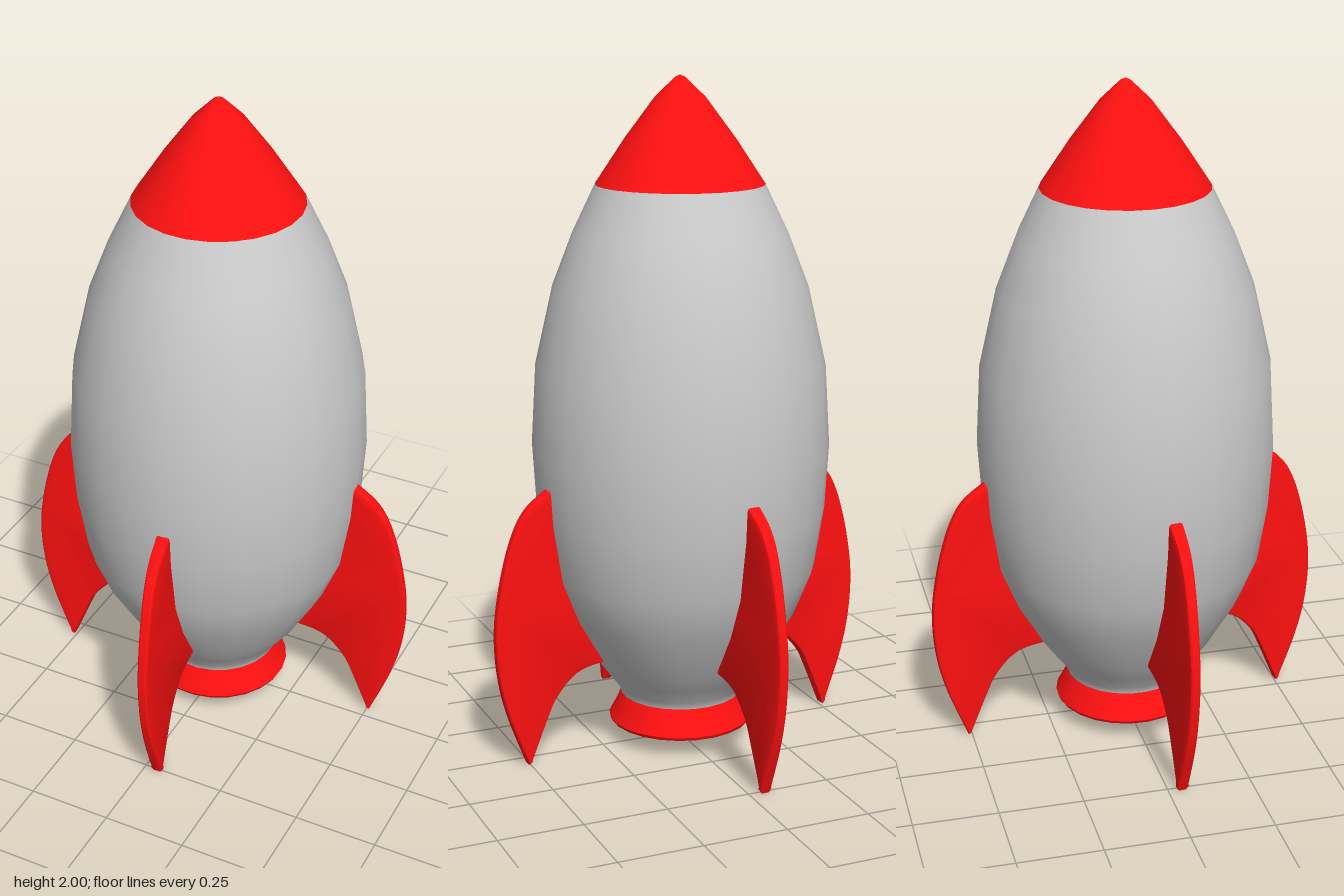
import * as THREE from 'three';
import { toCreasedNormals } from 'three/addons/utils/BufferGeometryUtils.js';

const SIDES = 24;
const grey = new THREE.MeshStandardMaterial({ color: 0xcccccc });
const red = new THREE.MeshStandardMaterial({ color: 0xff1010 });
const vectors = (pairs) => pairs.map(([x, y]) => new THREE.Vector2(x, y));

function addPart(parent, name, geometry, material) {
  const mesh = new THREE.Mesh(geometry, material);
  mesh.name = name;
  parent.add(mesh);
  return mesh;
}

// Swept fin: bevelled blade in the x-y plane, thinner towards its outer edge
function finGeometry() {
  const shape = new THREE.Shape();
  shape.moveTo(0.41, 0.835);
  shape.lineTo(0.437, 0.832);
  shape.splineThru(vectors([[0.505, 0.78], [0.55, 0.7], [0.587, 0.57], [0.607, 0.43], [0.6, 0.29], [0.57, 0.16], [0.512, 0.005]]));
  shape.lineTo(0.505, 0.008);
  shape.splineThru(vectors([[0.45, 0.14], [0.42, 0.2], [0.37, 0.255], [0.32, 0.278], [0.25, 0.287]]));
  // root edge, sunk just inside the hull
  shape.splineThru(vectors([[0.32, 0.42], [0.37, 0.55], [0.4, 0.7], [0.41, 0.835]]));

  const geometry = new THREE.ExtrudeGeometry(shape, {
    depth: 0.03, curveSegments: 12, bevelSegments: 2,
    bevelThickness: 0.01, bevelSize: 0.012, bevelOffset: -0.012,
  });
  geometry.translate(0, 0, -0.015);
  const p = geometry.attributes.position;
  for (let i = 0; i < p.count; i++) {
    const t = THREE.MathUtils.clamp((p.getX(i) - 0.3) / 0.3, 0, 1);
    p.setZ(i, p.getZ(i) * (1 - 0.38 * t));
  }
  return toCreasedNormals(geometry, 0.6);
}

export function createModel() {
  const rocket = new THREE.Group();
  rocket.name = 'rocket';
  rocket.rotation.y = THREE.MathUtils.degToRad(5);
  rocket.position.set(-0.004, 0, -0.002);

  // Hull, open at the bottom
  addPart(rocket, 'hull', new THREE.LatheGeometry(vectors([
    [0.182, 0.15], [0.187, 0.17], [0.225, 0.22], [0.272, 0.285], [0.35, 0.42], [0.402, 0.55],
    [0.43, 0.73], [0.441, 0.92], [0.427, 1.16], [0.373, 1.395], [0.313, 1.55], [0.246, 1.69],
  ]), SIDES), grey);

  // Nose cone
  addPart(rocket, 'noseCone', new THREE.LatheGeometry(vectors([
    [0.246, 1.69], [0.16, 1.82], [0.073, 1.937], [0.015, 1.993], [0, 2],
  ]), SIDES), red);

  // Nozzle ring with a funnel-shaped opening
  const nozzle = new THREE.LatheGeometry(vectors([
    [0.15, 0.062], [0.2, 0.06], [0.212, 0.063], [0.217, 0.073], [0.197, 0.11], [0.18, 0.15],
    [0.12, 0.15], [0.12, 0.13], [0.132, 0.09], [0.15, 0.062],
  ]), SIDES);
  addPart(rocket, 'nozzle', toCreasedNormals(nozzle, 0.8), red);

  // Four fins
  const fin = finGeometry();
  ['leftFin', 'backFin', 'rightFin', 'frontFin'].forEach((name, i) => {
    addPart(rocket, name, fin, red).rotation.y = i * Math.PI / 2;
  });

  const model = new THREE.Group();
  model.name = 'model';
  model.add(rocket);
  return model;
}
